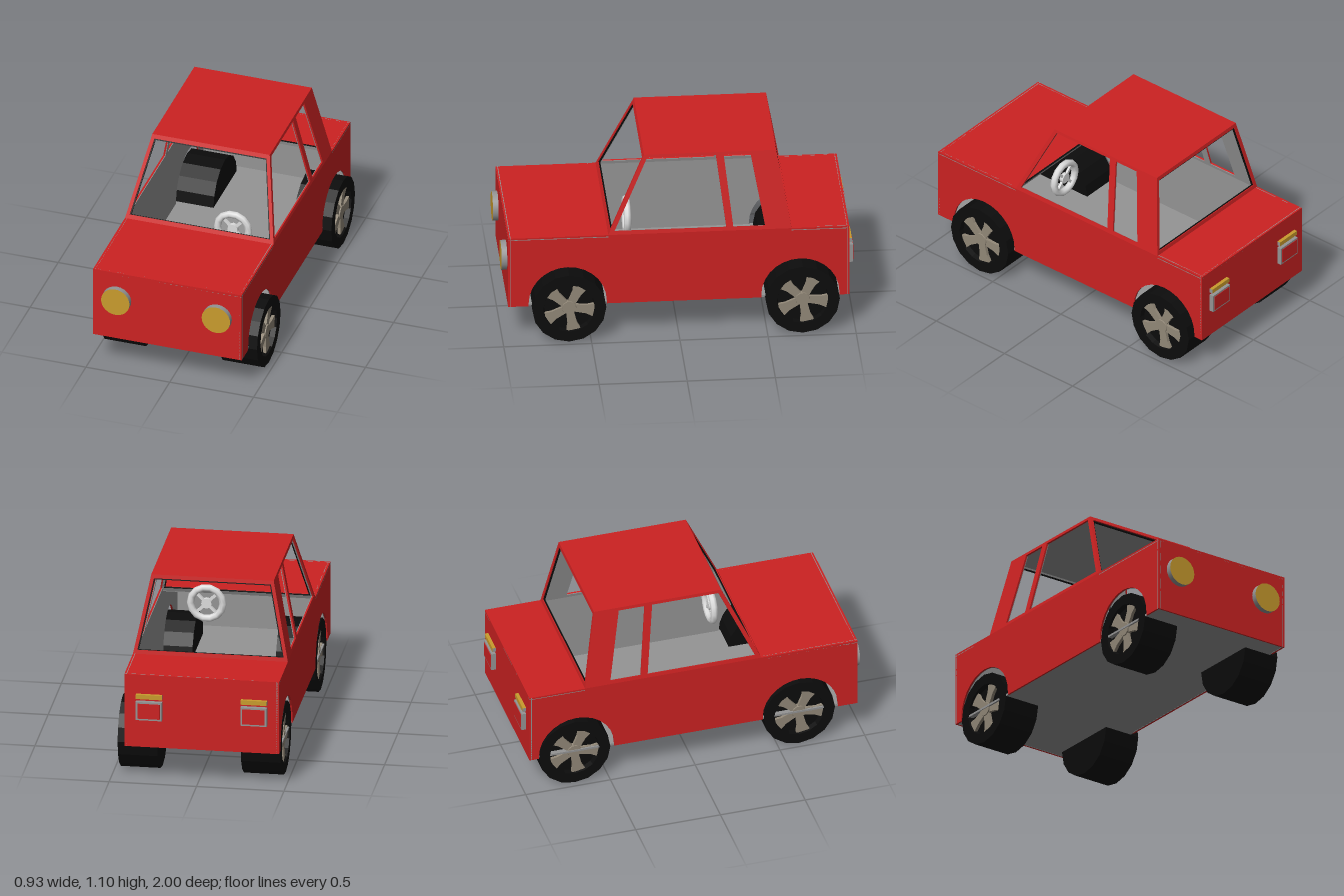
import * as THREE from 'three';
import { toCreasedNormals } from 'three/addons/utils/BufferGeometryUtils.js';

const mat = (name, color) => Object.assign(new THREE.MeshStandardMaterial({ color }), { name });
const V = (x, y, z) => new THREE.Vector3(x, y, z);

export function createModel() {
  const red = mat('red paint', 0xcc2222);
  const grey = mat('grey lining', 0x949494);
  const black = mat('black rubber', 0x0c0c0c);
  const gold = mat('amber lens', 0xc89b2d);
  const alloy = mat('wheel alloy', 0x928878);
  const white = mat('white plastic', 0xdddddd);

  const car = new THREE.Group();
  car.name = 'car';
  const body = new THREE.Group();
  body.name = 'body';
  body.position.x = -0.025;
  car.add(body);

  const add = (parent, name, geo, material, x = 0, y = 0, z = 0) => {
    const m = new THREE.Mesh(geo, material);
    m.name = name;
    m.position.set(x, y, z);
    parent.add(m);
    return m;
  };

  // Flat plate through 3D corners (counter-clockwise from outside), between two depths
  function plate(name, pts, holes, material, front, back) {
    const n = pts[1].clone().sub(pts[0]).cross(pts[2].clone().sub(pts[0])).normalize();
    const u = pts[1].clone().sub(pts[0]).normalize();
    const v = n.clone().cross(u);
    const flat = (list) => list.map((p) => {
      const d = p.clone().sub(pts[0]);
      return new THREE.Vector2(d.dot(u), d.dot(v));
    });
    const shape = new THREE.Shape(flat(pts));
    shape.holes = holes.map((h) => new THREE.Path(flat(h)));
    const geo = new THREE.ExtrudeGeometry(shape, { depth: back - front, bevelEnabled: false });
    geo.translate(0, 0, -back);
    geo.applyMatrix4(new THREE.Matrix4().makeBasis(u, v, n).setPosition(pts[0]));
    return add(body, name, geo, material);
  }
  // Painted panel with a grey inner lining
  function panel(name, pts, holes = []) {
    plate(name, pts, holes, red, 0, 0.01);
    plate(name + 'Lining', pts, holes, grey, 0.01, 0.014);
  }

  // Main dimensions
  const W = 0.443, RW = 0.35, L = 0.968, Y0 = 0.21, Y1 = 0.645, Y2 = 1.1;
  const lerp = (a, b, y) => a + (b - a) * (y - Y1) / (Y2 - Y1);
  const cabX = (y) => lerp(W, RW, y);
  const flip = (list) => list.map((p) => V(-p.x, p.y, p.z)).reverse();
  const deck = (y, w, zf, zb) => [V(-w, y, zf), V(w, y, zf), V(w, y, zb), V(-w, y, zb)];

  // Lower body: ends, bonnet, boot lid, roof
  const end = [V(-W, Y0, L), V(W, Y0, L), V(W, Y1, L), V(-W, Y1, L)];
  panel('frontPanel', end);
  panel('rearPanel', end.map((p) => V(-p.x, p.y, -p.z)));
  panel('bonnet', deck(Y1, W, L, 0.4));
  panel('bootLid', deck(Y1, W, -0.64, -L));
  panel('roof', deck(Y2, RW, 0.19, -0.56));
  add(body, 'floor', new THREE.BoxGeometry(2 * W - 0.01, 0.012, 2 * L - 0.01), grey, 0, Y0 + 0.007, 0);

  // Lower sides with wheel arches
  const side = [V(W, Y1, L), V(W, Y0, L)];
  for (const cz of [0.63, -0.69]) {
    const r = 0.222;
    side.push(V(W, Y0, cz + r));
    for (let i = 0; i <= 14; i++) {
      const a = Math.PI * i / 14;
      side.push(V(W, 0.228 + r * Math.sin(a), cz + r * Math.cos(a)));
    }
    side.push(V(W, Y0, cz - r));
  }
  side.push(V(W, Y0, -L), V(W, Y1, -L));

  // Cabin sides with two windows each
  const at = (y, z) => V(cabX(y), y, z);
  const cabin = [at(Y1, 0.4), at(Y1, -0.64), at(Y2, -0.56), at(Y2, 0.19)];
  const windows = [
    [at(0.665, 0.365), at(0.665, -0.27), at(1.082, -0.218), at(1.082, 0.173)],
    [at(0.665, -0.31), at(0.665, -0.49), at(1.082, -0.415), at(1.082, -0.262)],
  ];
  panel('leftSide', side);
  panel('rightSide', [...flip(side).slice(-2), ...flip(side).slice(0, -2)]);
  panel('leftCabinSide', cabin);
  panel('rightCabinSide', flip(cabin), windows.map(flip));
  body.remove(body.getObjectByName('leftCabinSide'), body.getObjectByName('leftCabinSideLining'));
  panel('leftCabinSide', cabin, windows);

  // Windscreen and rear window frames with a black seal round each opening
  for (const [name, zb, zt, s] of [['windscreen', 0.4, 0.19, 1], ['rearWindow', -0.64, -0.56, -1]]) {
    const ring = (y0, y1, inset) => [[-s, y0], [s, y0], [s, y1], [-s, y1]].map(
      ([k, y]) => V(k * (cabX(y) - inset), y, lerp(zb, zt, y)));
    const opening = ring(0.667, 1.078, 0.02);
    panel(name + 'Frame', ring(Y1, Y2, 0), [opening]);
    plate(name + 'Seal', opening, [ring(0.669, 1.071, 0.027)], black, 0.006, 0.015);
  }

  // Headlights and rear lights
  for (const s of [-1, 1]) {
    const lamp = add(body, 'headlight', new THREE.CylinderGeometry(0.085, 0.085, 0.032, 24),
      [grey, gold, grey], s * 0.3, 0.47, L + 0.016);
    lamp.rotation.x = Math.PI / 2;
    add(body, 'rearLamp', new THREE.BoxGeometry(0.15, 0.11, 0.026), grey, s * 0.3, 0.435, -L - 0.013);
    add(body, 'rearLens', new THREE.BoxGeometry(0.128, 0.09, 0.004), red, s * 0.3, 0.435, -L - 0.027);
    add(body, 'indicator', new THREE.BoxGeometry(0.15, 0.026, 0.02),
      [grey, grey, gold, grey, gold, gold], s * 0.3, 0.518, -L - 0.01);
  }

  // Steering wheel
  const steering = new THREE.Group();
  steering.name = 'steeringWheel';
  steering.position.set(0.135, 0.622, 0.275);
  car.add(steering);
  add(steering, 'steeringRim', new THREE.TorusGeometry(0.093, 0.021, 8, 14), white);
  const hub = add(steering, 'steeringHub', new THREE.CylinderGeometry(0.03, 0.03, 0.024, 12), white);
  hub.rotation.x = Math.PI / 2;
  for (let i = 0; i < 4; i++) {
    const geo = new THREE.BoxGeometry(0.08, 0.016, 0.014).translate(0.05, 0, 0);
    add(steering, 'steeringSpoke', geo, white).rotation.z = Math.PI / 4 + i * Math.PI / 2;
  }

  // Wheels: recessed tyre with five flared spokes
  const h = 0.113;
  const profile = [[0, -h], [0.21, -h], [0.21, h], [0.148, h], [0.142, h - 0.03], [0, h - 0.03]]
    .map(([x, y]) => new THREE.Vector2(x, y));
  const tyreGeo = toCreasedNormals(new THREE.LatheGeometry(profile, 16), 0.3);
  const spokeShape = new THREE.Shape([[0.03, -0.022], [0.1, -0.027], [0.143, -0.042],
    [0.143, 0.042], [0.1, 0.027], [0.03, 0.022]].map(([x, y]) => new THREE.Vector2(x, y)));
  const spokeGeo = new THREE.ExtrudeGeometry(spokeShape, { depth: 0.018, bevelEnabled: false })
    .rotateX(-Math.PI / 2);
  for (const s of [1, -1]) {
    for (const z of [0.625, -0.7]) {
      const wheel = new THREE.Group();
      wheel.name = 'wheel';
      wheel.position.set(s * 0.352, 0.21, z);
      if (s < 0) wheel.rotation.y = Math.PI;
      car.add(wheel);
      const spin = new THREE.Group();
      spin.name = 'wheelParts';
      spin.rotation.z = -Math.PI / 2;
      wheel.add(spin);
      add(spin, 'tyre', tyreGeo, black);
      add(spin, 'wheelHub', new THREE.CylinderGeometry(0.04, 0.046, 0.024, 10), alloy, 0, h - 0.018, 0);
      for (let i = 0; i < 5; i++) {
        add(spin, 'wheelSpoke', spokeGeo, alloy, 0, h - 0.03, 0).rotation.y =
          Math.PI / 2 - 0.14 + i * Math.PI * 0.4;
      }
    }
  }
  return car;
}
